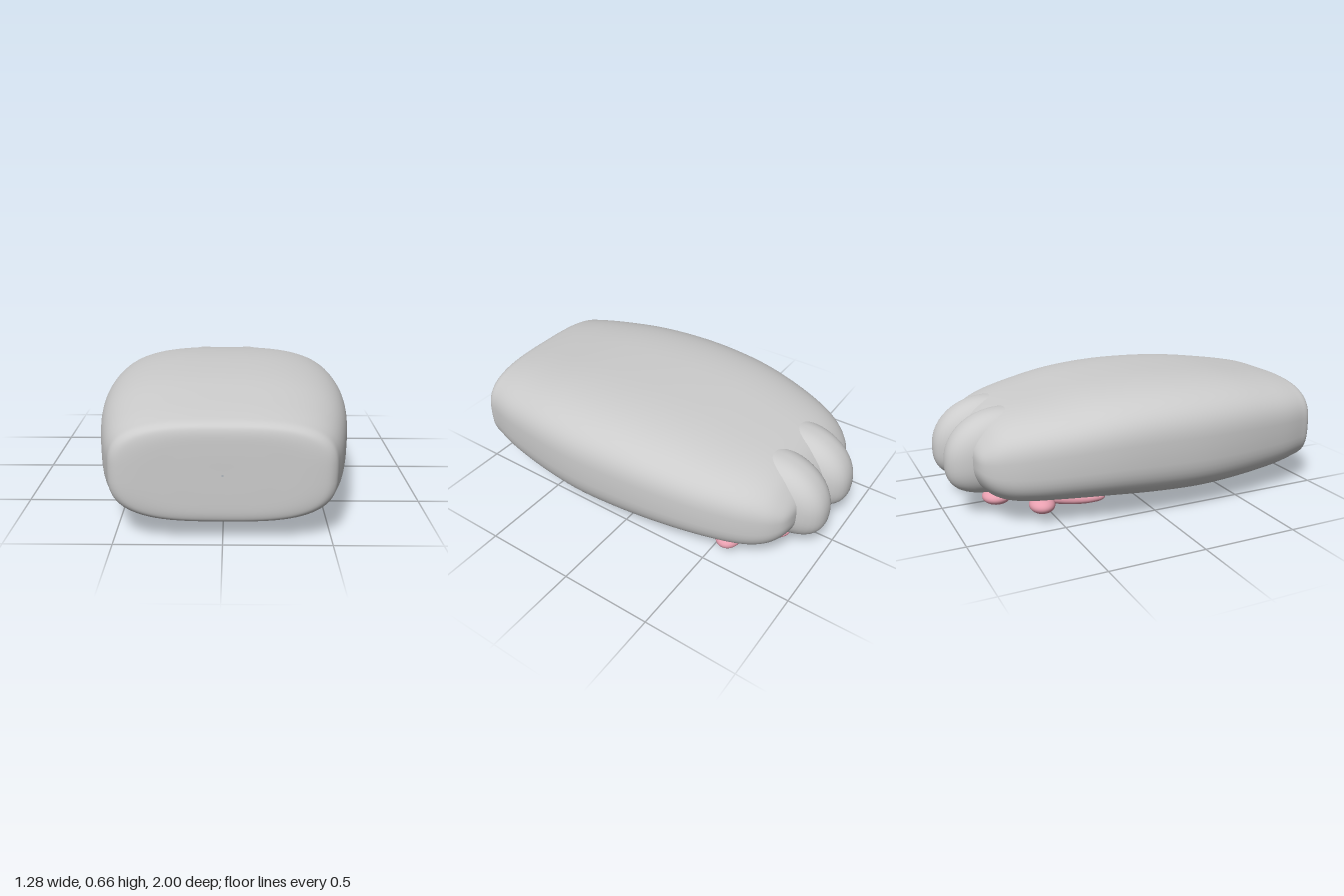
import * as THREE from 'three';
import { mergeVertices } from 'three/addons/utils/BufferGeometryUtils.js';

const grey = new THREE.MeshStandardMaterial({ color: 0xcccccc });
const pink = new THREE.MeshStandardMaterial({ color: 0xe8a0b0 });

// Body cross-sections from the flat front to the toes: z, half width, bottom, top
const stations = [
  [1.0, 0.005, 0.33, 0.34], [1.0, 0.22, 0.22, 0.45], [0.995, 0.42, 0.135, 0.535],
  [0.97, 0.5, 0.102, 0.568], [0.9, 0.53, 0.085, 0.587], [0.75, 0.572, 0.065, 0.612],
  [0.5, 0.617, 0.047, 0.645], [0.25, 0.64, 0.04, 0.66], [0, 0.637, 0.05, 0.66],
  [-0.25, 0.615, 0.068, 0.64], [-0.48, 0.568, 0.08, 0.6], [-0.66, 0.508, 0.088, 0.56],
  [-0.77, 0.452, 0.112, 0.517], [-0.84, 0.395, 0.165, 0.46], [-0.88, 0.325, 0.235, 0.405],
  [-0.89, 0.2, 0.29, 0.36], [-0.89, 0.005, 0.32, 0.33],
];

function bodyGeometry(rows = 96, sides = 80, power = 3.1) {
  const smooth = (pick) => new THREE.CatmullRomCurve3(
    stations.map((s) => new THREE.Vector3(...pick(s))), false, 'catmullrom', 0.5);
  const plan = smooth(([z, w]) => [z, w, 0]);
  const side = smooth(([, , b, t]) => [b, t, 0]);
  const soft = (v) => Math.sign(v) * Math.abs(v) ** (2 / power);
  const pos = [], index = [];
  for (let i = 0; i <= rows; i++) {
    const { x: z, y: w } = plan.getPoint(i / rows);
    const { x: b, y: t } = side.getPoint(i / rows);
    for (let j = 0; j < sides; j++) {
      const a = (j / sides) * Math.PI * 2;
      pos.push(w * soft(Math.cos(a)), (b + t) / 2 + ((t - b) / 2) * soft(Math.sin(a)), z);
      if (i === rows) continue;
      const p = i * sides + j, q = i * sides + ((j + 1) % sides);
      index.push(p, p + sides, q + sides, p, q + sides, q);
    }
  }
  const g = new THREE.BufferGeometry();
  g.setAttribute('position', new THREE.Float32BufferAttribute(pos, 3));
  g.setIndex(index);
  g.computeVertexNormals();
  return g;
}

// Rounded blob: a sphere squared off by a power, scaled, then bent by a rule
function blob(name, material, center, radii, power, bend = () => {}) {
  let g = new THREE.SphereGeometry(1, 48, 32);
  g.deleteAttribute('uv');
  g.deleteAttribute('normal');
  g = mergeVertices(g);
  const p = g.attributes.position, v = new THREE.Vector3();
  for (let i = 0; i < p.count; i++) {
    v.fromBufferAttribute(p, i);
    const n = Math.abs(v.x) ** power + Math.abs(v.y) ** power + Math.abs(v.z) ** power;
    v.multiplyScalar(n ** (-1 / power)).multiply(new THREE.Vector3(...radii));
    bend(v);
    p.setXYZ(i, v.x, v.y, v.z);
  }
  g.computeVertexNormals();
  const mesh = new THREE.Mesh(g, material);
  mesh.name = name;
  mesh.position.set(...center);
  return mesh;
}

export function createModel() {
  const group = new THREE.Group();
  group.name = 'paw';

  const body = new THREE.Mesh(bodyGeometry(), grey);
  body.name = 'body';
  group.add(body);

  // Middle toes droop towards the tip
  const droop = (v) => { if (v.z < 0) v.y -= 0.05 * (v.z / 0.32) ** 2; };
  for (const [side, s] of [['left', 1], ['right', -1]]) {
    group.add(
      blob(side + 'MiddleToe', grey, [s * 0.135, 0.335, -0.68], [0.157, 0.217, 0.32], 2.4, droop),
      blob(side + 'MiddleToePad', pink, [s * 0.15, 0.085, -0.745], [0.078, 0.042, 0.075], 2),
      blob(side + 'OuterToePad', pink, [s * 0.37, 0.088, -0.575], [0.075, 0.042, 0.065], 2),
    );
  }

  // Bean-shaped main pad, its ends curving towards the front
  group.add(blob('mainPad', pink, [0, 0.055, -0.435], [0.35, 0.055, 0.165], 2.5,
    (v) => { v.z += 1.4 * v.x * v.x; }));
  return group;
}
